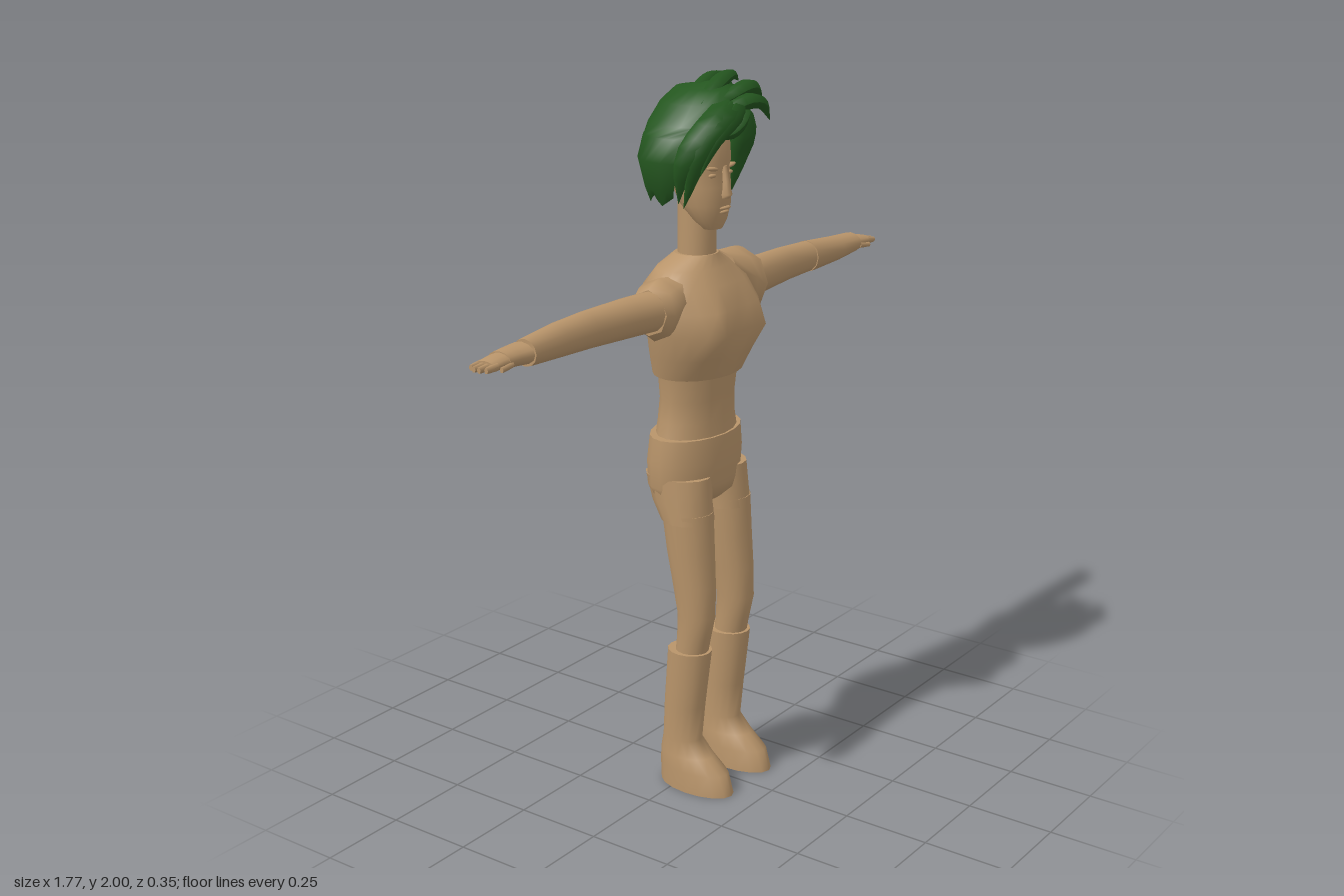
import * as THREE from 'three';

const skin = new THREE.MeshStandardMaterial({ color: 0xb8946a });
skin.name = 'tan skin';
const green = new THREE.MeshStandardMaterial({ color: 0x24561f, side: THREE.DoubleSide });
green.name = 'green hair';

function build(pos, idx) {
  const g = new THREE.BufferGeometry();
  g.setAttribute('position', new THREE.Float32BufferAttribute(pos, 3));
  g.setIndex(idx);
  g.computeVertexNormals();
  return g;
}

// Closed loft. Rows along y: [y, x, z, rx, rz]; along x: [x, z, y, rz, ry].
function loft(rows, { axis = 'y', sides = 16, bend } = {}) {
  const pos = [], idx = [];
  const put = (t, a, b) => {
    const p = axis === 'y' ? new THREE.Vector3(a, t, b) : new THREE.Vector3(t, b, a);
    if (bend) bend(p);
    pos.push(p.x, p.y, p.z);
    return pos.length / 3 - 1;
  };
  const ring = ([t, a, b, ra, rb]) => {
    for (let i = 0; i < sides; i++) {
      const q = (i / sides) * Math.PI * 2;
      put(t, a + ra * Math.cos(q), b + rb * Math.sin(q));
    }
  };
  rows.forEach(ring);
  for (let j = 0; j < rows.length - 1; j++) {
    for (let i = 0; i < sides; i++) {
      const a = j * sides + i, n = j * sides + (i + 1) % sides;
      idx.push(a, a + sides, n, n, a + sides, n + sides);
    }
  }
  // end caps have their own corners, which keeps the rims sharp
  [rows[0], rows[rows.length - 1]].forEach((row, top) => {
    const s = pos.length / 3;
    ring(row);
    const c = put(row[0], row[1], row[2]);
    for (let i = 0; i < sides; i++) {
      const n = s + (i + 1) % sides;
      if (top) idx.push(c, n, s + i); else idx.push(c, s + i, n);
    }
  });
  return build(pos, idx);
}

// Hair shell, open at the face. Rows: [y, x, z, rx, rz, half angle from the back]
function hairShell(rows, steps = 20) {
  const pos = [], idx = [], w = steps + 1;
  rows.forEach(([y, cx, cz, rx, rz, half], j) => {
    for (let i = 0; i <= steps; i++) {
      const q = half * (2 * i / steps - 1);
      const notch = j === 0 ? 0.012 * Math.cos(i * Math.PI / 2) : 0;
      pos.push(cx + rx * Math.sin(q), y + notch, cz - rz * Math.cos(q));
    }
  });
  for (let j = 0; j < rows.length - 1; j++) {
    for (let i = 0; i < steps; i++) {
      const a = j * w + i;
      idx.push(a, a + 1, a + w, a + 1, a + w + 1, a + w);
    }
  }
  return build(pos, idx);
}

// Tapered lock of hair along a curve
function lock(points, radius) {
  const curve = new THREE.CatmullRomCurve3(points.map(p => new THREE.Vector3(...p)));
  const seg = 10, radial = 6;
  const g = new THREE.TubeGeometry(curve, seg, radius, radial, false);
  const p = g.attributes.position, v = new THREE.Vector3();
  for (let i = 0; i < p.count; i++) {
    const t = Math.floor(i / (radial + 1)) / seg;
    const c = curve.getPointAt(t);
    v.fromBufferAttribute(p, i).sub(c).multiplyScalar(Math.sin(Math.PI * (0.2 + 0.8 * t)) + 0.01).add(c);
    p.setXYZ(i, v.x, v.y, v.z);
  }
  g.computeVertexNormals();
  return g;
}

export function createModel() {
  const model = new THREE.Group();
  model.name = 'figure';
  const add = (name, geometry, material = skin) => {
    const m = new THREE.Mesh(geometry, material);
    m.name = name;
    model.add(m);
    return m;
  };

  // torso with a fuller chest
  add('chest', loft([
    [1.21, 0, -0.01, 0.145, 0.11], [1.27, 0, 0, 0.165, 0.124], [1.34, 0, 0.005, 0.183, 0.13],
    [1.40, 0, -0.003, 0.19, 0.125], [1.46, 0, -0.02, 0.178, 0.112],
    [1.50, 0, -0.025, 0.125, 0.085], [1.535, 0, -0.015, 0.06, 0.06]
  ], {
    sides: 24,
    bend: p => {
      if (p.z > 0) p.z += 0.035 * Math.exp(-(((Math.abs(p.x) - 0.1) / 0.045) ** 2) - ((p.y - 1.35) / 0.06) ** 2);
    }
  }));
  add('waist', loft([
    [1.03, 0, -0.015, 0.14, 0.095], [1.08, 0, -0.015, 0.13, 0.09],
    [1.14, 0, -0.012, 0.125, 0.088], [1.22, 0, -0.01, 0.137, 0.092]
  ]));
  add('hips', loft([
    [0.845, 0, -0.01, 0.12, 0.06], [0.87, 0, -0.018, 0.155, 0.095], [0.90, 0, -0.022, 0.163, 0.107],
    [0.97, 0, -0.02, 0.166, 0.11], [1.04, 0, -0.018, 0.16, 0.103]
  ], { sides: 20 }));

  // neck, head and face
  add('neck', loft([[1.5, 0, -0.012, 0.053, 0.053], [1.68, 0, -0.012, 0.052, 0.053]]));
  add('head', loft([
    [1.605, 0, 0.038, 0.03, 0.025], [1.63, 0, 0.028, 0.052, 0.045], [1.67, 0, 0.015, 0.07, 0.066],
    [1.72, 0, 0, 0.078, 0.081], [1.76, 0, -0.01, 0.082, 0.086], [1.79, 0, -0.013, 0.083, 0.094],
    [1.85, 0, -0.02, 0.085, 0.096], [1.92, 0, -0.03, 0.065, 0.07]
  ], { sides: 20 }));
  add('nose', loft([
    [1.69, 0, 0.078, 0.015, 0.014], [1.70, 0, 0.078, 0.016, 0.023],
    [1.735, 0, 0.076, 0.01, 0.015], [1.775, 0, 0.072, 0.008, 0.01]
  ], { sides: 8 }));
  const bump = (name, x, y, z, sx, sy, sz, tilt = 0) => {
    const m = add(name, new THREE.SphereGeometry(1, 10, 6));
    m.position.set(x, y, z);
    m.scale.set(sx, sy, sz);
    m.rotation.z = tilt;
  };
  bump('upperLip', 0, 1.664, 0.079, 0.024, 0.005, 0.009);
  bump('lowerLip', 0, 1.653, 0.075, 0.02, 0.005, 0.009);

  for (const s of [1, -1]) {
    const side = s > 0 ? 'left' : 'right';
    // mirror rows by moving them to the other side of x = 0
    const upright = rows => loft(rows.map(([y, x, ...r]) => [y, s * x, ...r]));
    const along = (rows, sides = 12) => {
      const m = rows.map(([x, ...r]) => [s * x, ...r]);
      return loft(s > 0 ? m : m.reverse(), { axis: 'x', sides });
    };
    bump(side + 'Brow', s * 0.038, 1.77, 0.066, 0.026, 0.006, 0.01, s * 0.15);
    bump(side + 'Eye', s * 0.036, 1.752, 0.064, 0.017, 0.006, 0.008);

    // legs and boots
    add(side + 'ShortsLeg', upright([
      [0.805, 0.088, 0.02, 0.073, 0.074], [0.86, 0.087, 0.0, 0.075, 0.088], [0.93, 0.083, -0.015, 0.078, 0.098]
    ]));
    add(side + 'Leg', upright([
      [0.40, 0.094, 0.035, 0.043, 0.047], [0.46, 0.094, 0.044, 0.044, 0.05], [0.53, 0.094, 0.053, 0.048, 0.056],
      [0.62, 0.092, 0.044, 0.056, 0.063], [0.72, 0.09, 0.031, 0.064, 0.069], [0.83, 0.089, 0.02, 0.07, 0.073]
    ]));
    add(side + 'Boot', upright([
      [0, 0.095, 0.056, 0.061, 0.119], [0.06, 0.095, 0.046, 0.06, 0.111], [0.10, 0.095, 0.022, 0.054, 0.085],
      [0.145, 0.095, 0.005, 0.046, 0.06], [0.25, 0.095, 0.013, 0.05, 0.062], [0.42, 0.094, 0.03, 0.057, 0.065]
    ]));

    // the left shoulder pad is larger than the right one
    add(side + 'Shoulder', along(s > 0
      ? [[0.1, -0.01, 1.475, 0.06, 0.045], [0.16, -0.01, 1.445, 0.085, 0.075],
        [0.19, -0.01, 1.42, 0.09, 0.096], [0.212, -0.01, 1.418, 0.085, 0.09]]
      : [[0.13, -0.01, 1.44, 0.065, 0.05], [0.17, -0.01, 1.42, 0.075, 0.075],
        [0.195, -0.01, 1.408, 0.072, 0.08], [0.22, -0.01, 1.41, 0.06, 0.062]], 8));

    // arms: a long cuff on the left, a gap before a short cuff on the right
    const arm = [
      [0.17, 0, 1.415, 0.055, 0.055], [0.3, -0.02, 1.413, 0.05, 0.054],
      [0.45, -0.033, 1.412, 0.043, 0.05], [0.57, -0.029, 1.413, 0.041, 0.045]
    ];
    if (s < 0) arm.push([0.705, -0.018, 1.413, 0.038, 0.035]);
    add(side + 'Arm', along(arm));
    add(side + 'Cuff', along(s > 0
      ? [[0.565, -0.028, 1.413, 0.043, 0.047], [0.7, -0.018, 1.414, 0.04, 0.037], [0.79, -0.015, 1.417, 0.038, 0.029]]
      : [[0.717, -0.016, 1.416, 0.042, 0.028], [0.76, -0.016, 1.417, 0.038, 0.025], [0.8, -0.015, 1.417, 0.036, 0.022]]));
    add(side + 'Palm', along([
      [0.78, -0.012, 1.417, 0.03, 0.02], [0.82, -0.012, 1.417, 0.033, 0.018], [0.855, -0.012, 1.415, 0.031, 0.013]
    ]));
    for (let i = 0; i < 4; i++) {
      const z = -0.036 + i * 0.016, tip = 0.878 + (i === 1 || i === 2 ? 0.008 : 0);
      add(side + 'Finger' + (i + 1), along([[0.84, z, 1.415, 0.008, 0.011], [tip, z, 1.413, 0.006, 0.008]], 6));
    }
    add(side + 'Thumb', along([[0.79, 0.015, 1.41, 0.009, 0.009], [0.835, 0.022, 1.406, 0.006, 0.007]], 6));
  }

  // hair
  add('hairShell', hairShell([
    [1.68, 0, -0.05, 0.098, 0.09, 1.9], [1.71, 0, -0.048, 0.118, 0.105, 1.95],
    [1.79, 0.003, -0.04, 0.146, 0.132, 2.05], [1.85, 0.015, -0.035, 0.138, 0.13, 2.3],
    [1.88, 0.025, -0.033, 0.13, 0.127, Math.PI], [1.93, 0.05, -0.03, 0.105, 0.117, Math.PI],
    [1.965, 0.065, -0.025, 0.078, 0.09, Math.PI], [1.98, 0.07, -0.02, 0.001, 0.001, Math.PI]
  ]), green);
  const locks = [
    // fringe swept to the right side
    [[[0.1, 1.92, 0.05], [0, 1.90, 0.085], [-0.085, 1.83, 0.065], [-0.105, 1.67, 0.02]], 0.034],
    [[[0.06, 1.93, 0.05], [-0.04, 1.89, 0.07], [-0.11, 1.80, 0.03], [-0.1, 1.68, 0]], 0.038],
    [[[0.12, 1.94, 0.04], [0.03, 1.91, 0.09], [-0.06, 1.85, 0.09], [-0.1, 1.76, 0.07]], 0.026],
    [[[0.1, 1.93, 0.06], [0.06, 1.90, 0.085], [0.01, 1.865, 0.09], [-0.05, 1.85, 0.085]], 0.028],
    // left side of the face
    [[[0.06, 1.93, 0.06], [0.095, 1.87, 0.075], [0.115, 1.79, 0.04], [0.115, 1.67, 0.01]], 0.034],
    [[[0.08, 1.91, 0.04], [0.13, 1.85, 0.03], [0.135, 1.78, 0], [0.12, 1.68, -0.02]], 0.034],
    // spikes blown to the left
    [[[-0.03, 1.925, 0.02], [0.06, 1.975, 0.01], [0.14, 1.99, 0], [0.2, 1.965, -0.02]], 0.022],
    [[[0, 1.94, -0.04], [0.09, 1.975, -0.05], [0.15, 1.985, -0.06], [0.205, 1.985, -0.06]], 0.018],
    [[[0.02, 1.94, 0.06], [0.1, 1.965, 0.07], [0.16, 1.955, 0.06], [0.225, 1.91, 0.04]], 0.022],
    [[[0.04, 1.93, -0.01], [0.12, 1.96, -0.02], [0.17, 1.95, -0.03], [0.215, 1.92, -0.05]], 0.022],
    [[[0, 1.91, 0.07], [0.08, 1.935, 0.095], [0.14, 1.92, 0.1], [0.19, 1.87, 0.09]], 0.022]
  ];
  locks.forEach(([points, r], i) => add('hairLock' + (i + 1), lock(points, r), green));

  return model;
}
